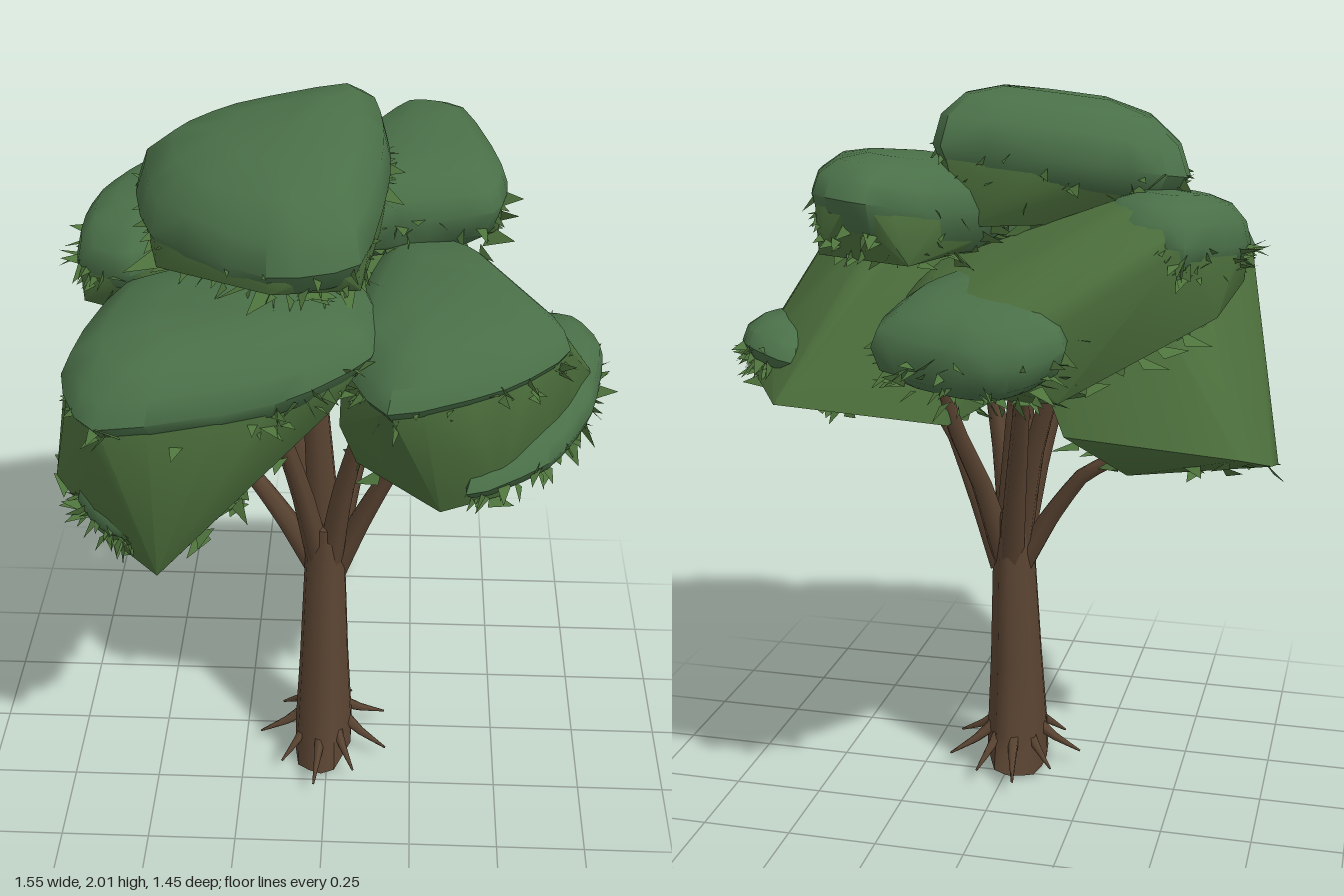
import * as THREE from 'three';
import { ConvexGeometry } from 'three/addons/geometries/ConvexGeometry.js';
import { mergeVertices, toCreasedNormals } from 'three/addons/utils/BufferGeometryUtils.js';

const V = (p) => new THREE.Vector3(...p);
const bark = new THREE.MeshStandardMaterial({ color: 0x5a4432 });
const capGreen = new THREE.MeshStandardMaterial({ color: 0x4a7048 });
const skirtGreen = new THREE.MeshStandardMaterial({ color: 0x4c6f3c });
const leafGreen = new THREE.MeshStandardMaterial({ color: 0x4e733c, side: THREE.DoubleSide });

let seed = 7;
const rand = () => (seed = (seed * 16807) % 2147483647) / 2147483647;

function addMesh(group, name, geometry, material) {
  const mesh = new THREE.Mesh(geometry, material);
  mesh.name = name;
  group.add(mesh);
}

// Tapered tube along a curve
function limb(points, r0, r1, sides = 6, segments = 9) {
  const curve = new THREE.CatmullRomCurve3(points.map(V), false, 'catmullrom', 0.2);
  const geo = new THREE.TubeGeometry(curve, segments, 1, sides);
  const pos = geo.attributes.position, v = new THREE.Vector3();
  for (let i = 0; i < pos.count; i++) {
    const t = Math.floor(i / (sides + 1)) / segments;
    const c = curve.getPointAt(t);
    v.fromBufferAttribute(pos, i).sub(c).multiplyScalar(r0 + (r1 - r0) * t).add(c);
    pos.setXYZ(i, v.x, v.y, v.z);
  }
  return geo;
}

// Fluted trunk: each ring is [y, centre x, centre z, radius x, radius z]
function trunkGeometry() {
  const rings = [[0.02, -0.015, 0.09, 0.085, 0.155], [0.12, -0.015, 0.085, 0.085, 0.125], [0.35, -0.014, 0.07, 0.072, 0.105],
    [0.64, -0.012, 0.05, 0.06, 0.085], [0.82, -0.012, 0.045, 0.05, 0.075]];
  const geo = new THREE.CylinderGeometry(1, 1, 1, 14, rings.length - 1);
  const pos = geo.attributes.position;
  for (let i = 0; i < pos.count; i++) {
    const [y, cx, cz, rx, rz] = rings[Math.round((pos.getY(i) + 0.5) * (rings.length - 1))];
    const x = pos.getX(i), z = pos.getZ(i);
    const flute = 1 + 0.06 * Math.cos(5 * Math.atan2(z, x));
    const tilt = y < 0.1 ? x * 0.02 : 0;
    pos.setXYZ(i, cx + x * rx * flute, y + tilt, cz + z * rz * flute);
  }
  geo.computeVertexNormals();
  return toCreasedNormals(geo, 0.9);
}

// Foliage pad: a closed rim with blunt corners, domed above and shallow below
function makePad({ rim, up, down }) {
  const curve = new THREE.CatmullRomCurve3(rim.map(V), true, 'catmullrom', 0.3);
  const edge = curve.getPoints(rim.length * 3).slice(0, -1);
  const centre = edge.reduce((s, p) => s.add(p), new THREE.Vector3()).divideScalar(edge.length);
  const points = [centre.clone().setY(centre.y + up)];
  for (const [inset, lift] of [[0, 0], [0.07, up * 0.45], [0.27, up * 0.8], [0.58, up * 0.97], [0.08, -down * 0.6], [0.3, -down]]) {
    for (const p of edge) {
      const q = p.clone().lerp(centre, inset);
      q.y += lift;
      points.push(q);
    }
  }
  return { curve, centre, points, down };
}

function hull(points, crease) {
  const geo = new ConvexGeometry(points);
  geo.deleteAttribute('normal');
  const merged = mergeVertices(geo, 1e-4);
  merged.computeVertexNormals();
  return toCreasedNormals(merged, crease);
}

// Pointed leaf corners at a base, growing along dir
function leaf(base, dir, size) {
  const side = new THREE.Vector3(rand() - 0.5, rand() - 0.5, rand() - 0.5).cross(dir).normalize();
  dir.addScaledVector(side, rand() - 0.5).normalize();
  return [base.clone().addScaledVector(side, size * 0.33), base.clone().addScaledVector(side, size * -0.33),
    base.clone().addScaledVector(dir, size)];
}

function leafMeshGeometry(corners) {
  const geo = new THREE.BufferGeometry().setFromPoints(corners);
  geo.computeVertexNormals();
  return geo;
}

// Leaves fringing the rim of a pad
function rimLeaves({ curve, centre, down }, count) {
  const corners = [];
  for (let i = 0; i < count; i++) {
    const base = curve.getPoint(rand());
    const dir = base.clone().sub(centre).setY(0).normalize();
    const drop = rand();
    base.lerp(centre, 0.06 + drop * 0.14);
    base.y -= down * drop * 1.2;
    dir.y = 0.4 - 1.4 * rand();
    corners.push(...leaf(base, dir.normalize(), 0.035 + 0.04 * rand()));
  }
  return leafMeshGeometry(corners);
}

// Leaves lying against the downward faces of a body
function undersideLeaves(geometry, density) {
  const pos = geometry.attributes.position, corners = [];
  for (let i = 0; i < pos.count; i += 3) {
    const [a, b, c] = [0, 1, 2].map((k) => new THREE.Vector3().fromBufferAttribute(pos, i + k));
    const face = new THREE.Triangle(a, b, c), normal = face.getNormal(new THREE.Vector3());
    if (normal.y > -0.6) continue;
    const count = Math.floor(face.getArea() * density + rand());
    for (let n = 0; n < count; n++) {
      const base = a.clone().lerp(b.clone().lerp(c, rand()), Math.sqrt(rand())).addScaledVector(normal, 0.004);
      const dir = new THREE.Vector3(rand() - 0.5, 0, rand() - 0.5).addScaledVector(normal, 0.05).normalize();
      corners.push(...leaf(base, dir, 0.05 + 0.05 * rand()));
    }
  }
  return leafMeshGeometry(corners);
}

// Each clump: pads, plus extra corners of the body that joins them
const clumps = {
  crown: {
    pads: [{ up: 0.17, down: 0.1, rim: [[-0.5, 1.79, -0.1], [-0.3, 1.83, -0.25], [0.09, 1.88, -0.33], [0.15, 1.87, -0.12],
      [0.15, 1.85, 0.08], [0.09, 1.8, 0.4], [-0.13, 1.78, 0.44], [-0.43, 1.78, 0.22]] }],
    extra: [[-0.42, 1.69, 0.22], [-0.12, 1.73, 0.43], [0.09, 1.71, 0.36], [0.14, 1.7, -0.05], [0.05, 1.67, -0.28], [-0.38, 1.67, -0.1]],
  },
  backRight: {
    pads: [{ up: 0.11, down: 0.12, rim: [[0.05, 1.73, -0.42], [0.2, 1.77, -0.6], [0.36, 1.78, -0.53], [0.46, 1.76, -0.17],
      [0.42, 1.74, -0.02], [0.18, 1.73, 0.03], [0.0, 1.7, 0.03], [-0.03, 1.7, -0.15]] }],
    extra: [[0.02, 1.6, -0.08], [0.44, 1.65, -0.1], [0.35, 1.63, -0.52], [0.12, 1.61, -0.52]],
  },
  frontLeft: {
    pads: [
      { up: 0.12, down: 0.08, rim: [[-0.63, 1.52, 0.46], [-0.52, 1.5, 0.68], [-0.1, 1.54, 0.61], [0.12, 1.59, 0.47],
        [0.12, 1.59, 0.2], [-0.2, 1.57, 0.03], [-0.53, 1.54, 0.1]] },
      { up: 0.06, down: 0.04, rim: [[-0.65, 1.05, 0.32], [-0.55, 1.05, 0.45], [-0.43, 1.06, 0.47], [-0.48, 1.05, 0.2], [-0.64, 1.05, 0.12]] },
    ],
    extra: [[-0.75, 0.98, 0.1], [-0.74, 1.0, 0.01], [-0.66, 1.05, -0.12], [-0.42, 0.96, 0.52], [-0.6, 0.97, 0.34],
      [-0.35, 0.97, 0.4], [-0.36, 0.98, -0.1], [-0.2, 1.1, -0.18], [-0.15, 1.18, 0.3], [0.02, 1.45, 0.5]],
  },
  frontRight: {
    pads: [
      { up: 0.11, down: 0.07, rim: [[0.04, 1.53, 0.35], [0.16, 1.51, 0.6], [0.44, 1.54, 0.52], [0.6, 1.57, 0.38],
        [0.48, 1.59, 0.17], [0.4, 1.59, 0.0], [0.32, 1.57, -0.12], [0.14, 1.58, -0.06]] },
      { up: 0.09, down: 0.06, rim: [[0.36, 1.2, 0.47], [0.57, 1.24, 0.38], [0.69, 1.28, 0.2], [0.74, 1.3, -0.07],
        [0.67, 1.31, -0.22], [0.52, 1.28, -0.27], [0.42, 1.23, 0.1]] },
    ],
    extra: [[0.08, 1.09, 0.17], [0.12, 1.11, -0.18], [0.3, 1.11, 0.42], [0.04, 1.32, 0.35], [0.45, 1.15, 0.4], [0.55, 1.19, -0.36],
      [0.74, 1.22, -0.05]],
  },
  backLeft: {
    pads: [
      { up: 0.12, down: 0.08, rim: [[-0.65, 1.63, -0.15], [-0.53, 1.65, -0.35], [-0.4, 1.66, -0.36], [-0.29, 1.66, -0.25],
        [-0.36, 1.65, 0.02], [-0.5, 1.62, 0.14], [-0.65, 1.61, 0.05]] },
      { up: 0.1, down: 0.1, rim: [[-0.28, 1.43, -0.56], [-0.17, 1.4, -0.67], [-0.03, 1.4, -0.68], [0.2, 1.42, -0.59],
        [0.17, 1.47, -0.35], [0.05, 1.5, -0.2], [-0.22, 1.48, -0.35]] },
    ],
    extra: [[-0.64, 1.5, 0.05], [-0.6, 1.45, -0.2], [-0.35, 1.42, 0.05], [0.16, 1.29, -0.38], [-0.1, 1.24, -0.36], [-0.25, 1.28, -0.5],
      [-0.32, 1.28, -0.2], [0.24, 1.36, -0.1], [0.25, 1.46, -0.1], [0.14, 1.56, -0.16], [-0.05, 1.63, -0.2], [0.15, 1.42, -0.56]],
  },
};

export function createModel() {
  const tree = new THREE.Group();
  tree.name = 'tree';

  // Trunk and roots
  addMesh(tree, 'trunk', trunkGeometry(), bark);
  for (let i = 0; i < 9; i++) {
    const a = (i / 9) * Math.PI * 2 + 0.3, c = Math.cos(a), s = Math.sin(a);
    const far = i % 2 ? 0.88 : 1.02;
    addMesh(tree, 'root', limb([[-0.01 + c * 0.05, 0.14, 0.08 + s * 0.07], [-0.01 + c * 0.11, 0.09, 0.08 + s * 0.15],
      [-0.01 + c * 0.19 * far, 0.045, 0.08 + s * 0.235 * far]], 0.022, 0.003, 5, 4), bark);
  }

  // Branches reaching into the clumps
  const branches = [
    [[-0.03, 0.64, 0.04], [-0.12, 0.8, 0.03], [-0.22, 0.94, 0.01], [-0.36, 1.02, 0.0]],
    [[0.02, 0.64, 0.04], [0.09, 0.82, 0.06], [0.18, 1.02, 0.09], [0.3, 1.14, 0.14]],
    [[0.01, 0.66, 0.03], [0.06, 0.9, -0.04], [0.12, 1.12, -0.14], [0.15, 1.4, -0.22]],
    [[-0.02, 0.66, 0.07], [-0.07, 0.95, 0.12], [-0.13, 1.2, 0.17], [-0.2, 1.45, 0.25]],
    [[-0.01, 0.66, 0.01], [-0.05, 0.95, -0.09], [-0.09, 1.2, -0.2], [-0.11, 1.35, -0.34]],
    [[0.0, 0.66, 0.07], [0.04, 0.95, 0.12], [0.09, 1.18, 0.17], [0.15, 1.35, 0.25]],
    [[-0.03, 0.7, 0.03], [-0.08, 1.0, -0.01], [-0.17, 1.3, -0.05], [-0.33, 1.55, -0.12]],
  ];
  for (const path of branches) addMesh(tree, 'branch', limb(path, 0.038, 0.016), bark);
  addMesh(tree, 'leader', limb([[-0.01, 0.75, 0.04], [-0.03, 1.1, 0.04], [-0.05, 1.4, 0.03], [-0.1, 1.75, 0.02]], 0.052, 0.02), bark);

  // Foliage clumps; lower pads stand proud of the body
  for (const [name, { pads, extra }] of Object.entries(clumps)) {
    const clump = new THREE.Group();
    clump.name = name + 'Foliage';
    const built = pads.map(makePad);
    const body = extra.map(V);
    built.forEach(({ points, centre }, i) => body.push(...points.map((p) => p.clone().lerp(centre, i ? 0.3 : 0.025))));
    const bodyGeometry = hull(body, 0.85);
    addMesh(clump, 'foliageBody', bodyGeometry, skirtGreen);
    addMesh(clump, 'undersideLeaves', undersideLeaves(bodyGeometry, 110), leafGreen);
    for (const pad of built) {
      addMesh(clump, 'foliagePad', hull(pad.points, 0.8), capGreen);
      addMesh(clump, 'rimLeaves', rimLeaves(pad, 80), leafGreen);
    }
    tree.add(clump);
  }
  return tree;
}
